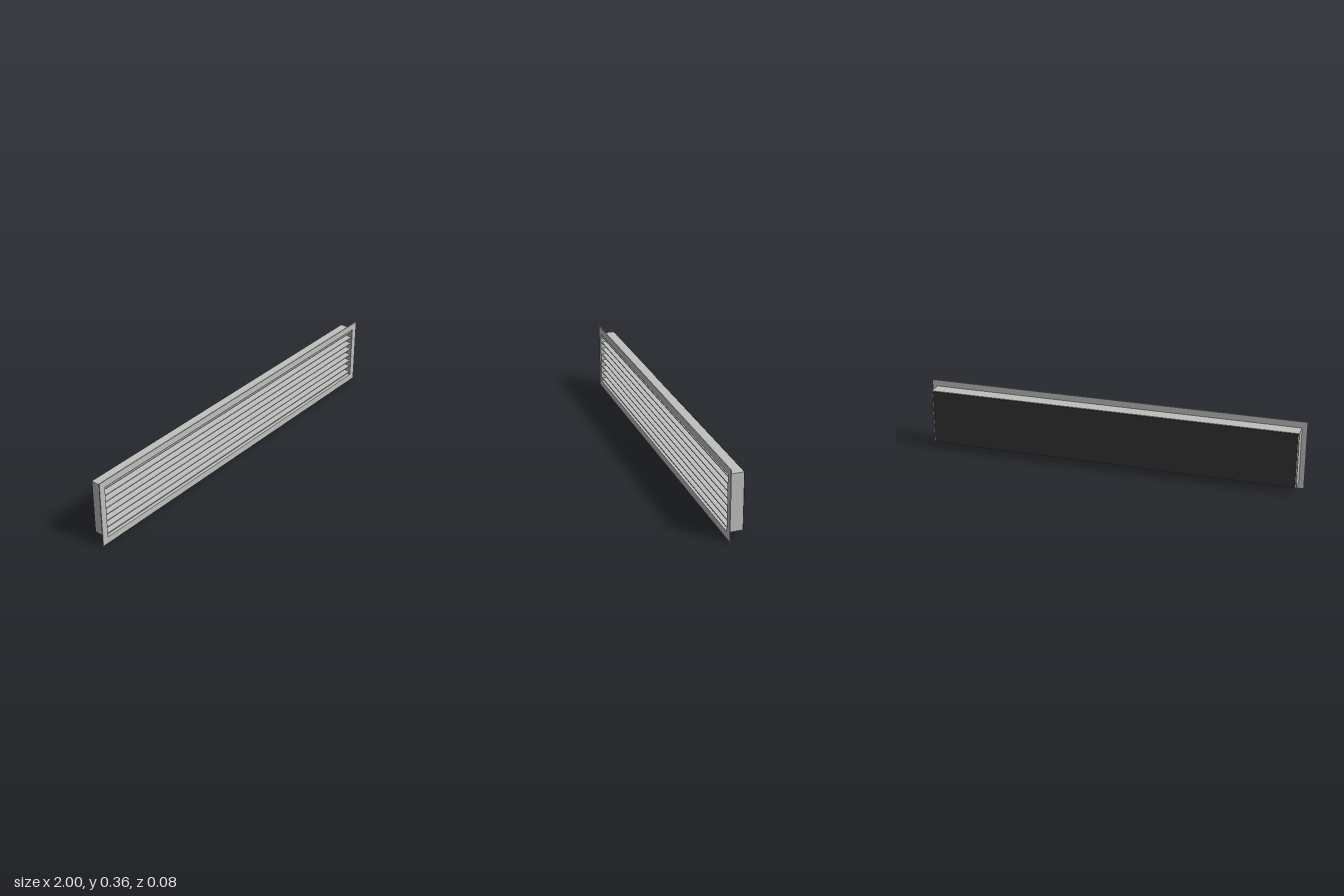
import * as THREE from 'three';

const W = 2, H = 0.36, MID = H / 2;
const OPEN_W = 1.934, OPEN_H = 0.288;   // clear opening
const DUCT_W = 1.946, DUCT_H = 0.294;   // outside of the duct
const Z_FRONT = 0.041, Z_FLANGE = 0.036, Z_DUCT = -0.037, Z_BACK = -0.041;
const BLADES = 8, BLADE_T = 0.005;

// Rectangular ring extruded between two depths
function ring(w, h, holeW, holeH, z0, z1) {
  const rect = (T, a, b) => new T([[-a, -b], [a, -b], [a, b], [-a, b]]
    .map(([x, y]) => new THREE.Vector2(x / 2, y / 2)));
  const shape = rect(THREE.Shape, w, h);
  shape.holes.push(rect(THREE.Path, holeW, holeH));
  return new THREE.ExtrudeGeometry(shape, { depth: z1 - z0, bevelEnabled: false })
    .translate(0, MID, z0);
}

export function createModel() {
  const group = new THREE.Group();
  group.name = 'ventGrille';
  const metal = new THREE.MeshStandardMaterial({ color: 0xbfc1bf });
  metal.name = 'light grey metal';
  const dark = new THREE.MeshStandardMaterial({ color: 0x333333 });
  dark.name = 'dark backing';

  const add = (name, geometry, material) => {
    const mesh = new THREE.Mesh(geometry, material);
    mesh.name = name;
    group.add(mesh);
    return mesh;
  };

  // Thin front flange and the duct collar behind it
  add('flange', ring(W, H, OPEN_W, OPEN_H, Z_FLANGE, Z_FRONT), metal);
  add('ductCollar', ring(DUCT_W, DUCT_H, OPEN_W, OPEN_H, Z_DUCT, Z_FLANGE), metal);

  // Dark panel closing the back
  const back = add('backPanel', new THREE.BoxGeometry(OPEN_W, OPEN_H, Z_DUCT - Z_BACK), dark);
  back.position.set(0, MID, (Z_DUCT + Z_BACK) / 2);

  // Level louver blades, half a pitch in from the top and bottom
  const depth = Z_FLANGE - Z_DUCT;
  const blade = new THREE.BoxGeometry(OPEN_W, BLADE_T, depth);
  const pitch = DUCT_H / BLADES;
  for (let i = 0; i < BLADES; i++) {
    const mesh = add('louverBlade' + (i + 1), blade, metal);
    mesh.position.set(0, MID + (i - (BLADES - 1) / 2) * pitch, (Z_FLANGE + Z_DUCT) / 2);
  }
  return group;
}
